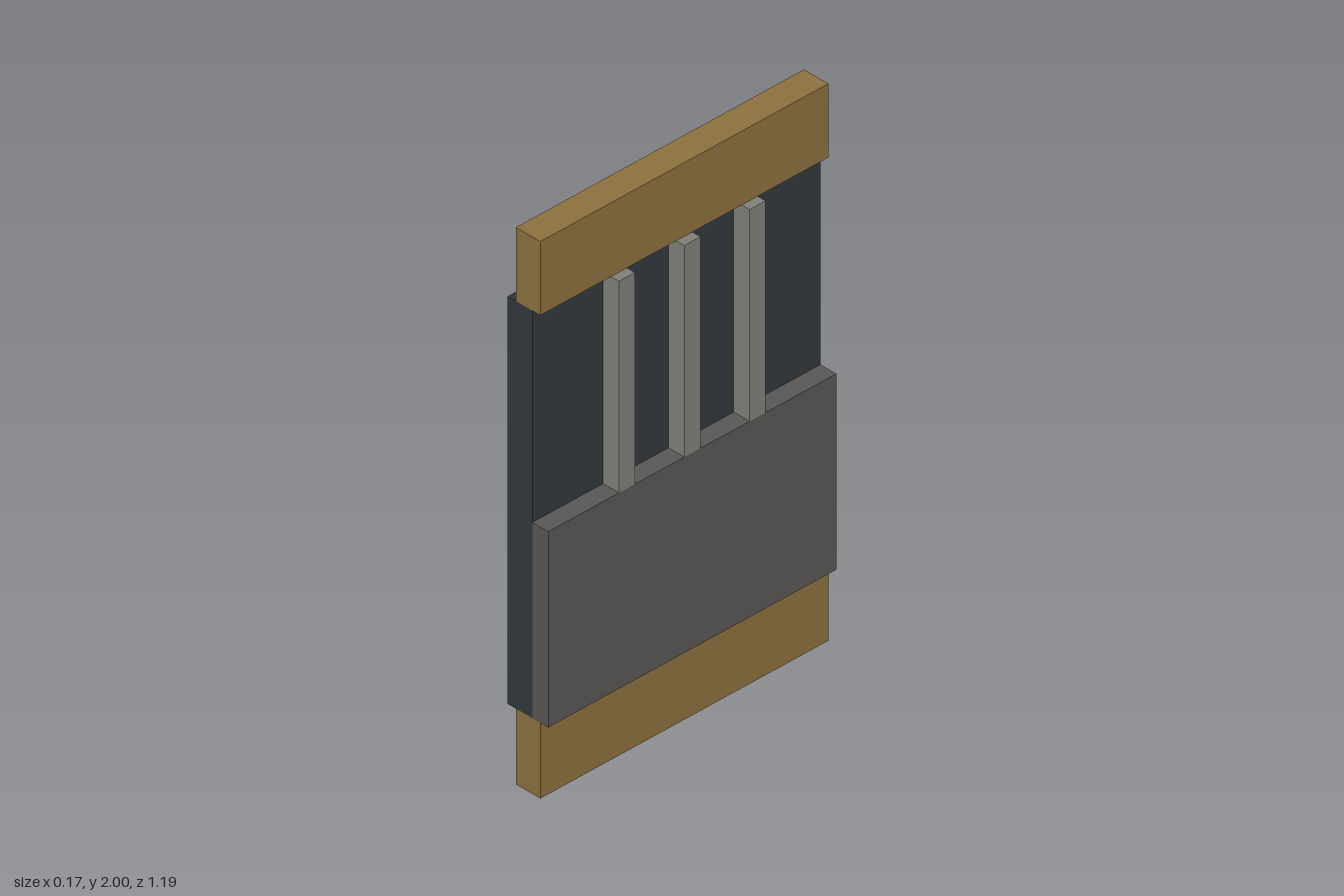
import * as THREE from 'three';

const DEPTH = 1.19; // common z extent of all full-width parts

const paint = (color) => new THREE.MeshStandardMaterial({ color });

// Box given by its x and y limits, its z size and z centre
function slab(name, material, [x0, x1], [y0, y1], depth = DEPTH, z = 0) {
  const mesh = new THREE.Mesh(new THREE.BoxGeometry(x1 - x0, y1 - y0, depth), material);
  mesh.position.set((x0 + x1) / 2, (y0 + y1) / 2, z);
  mesh.name = name;
  return mesh;
}

export function createModel() {
  const group = new THREE.Group();
  group.name = 'panel';

  const wood = paint(0x8c703f);
  const dark = paint(0x30383c);
  const plate = paint(0x585755);
  const metal = paint(0x80807a);

  // Wooden rails at the bottom and top
  group.add(slab('bottomRail', wood, [-0.052, 0.052], [0, 0.272]));
  group.add(slab('topRail', wood, [-0.052, 0.052], [1.735, 2]));

  // Dark backing board between the rails
  group.add(slab('backingBoard', dark, [-0.087, 0.018], [0.272, 1.735]));

  // Plate over the lower half
  group.add(slab('lowerPlate', plate, [0.018, 0.086], [0.272, 0.975]));

  // Three upright bars above the plate
  for (const z of [-0.27, 0, 0.27]) {
    group.add(slab('uprightBar', metal, [0.018, 0.086], [0.975, 1.735], 0.066, z));
  }

  return group;
}
